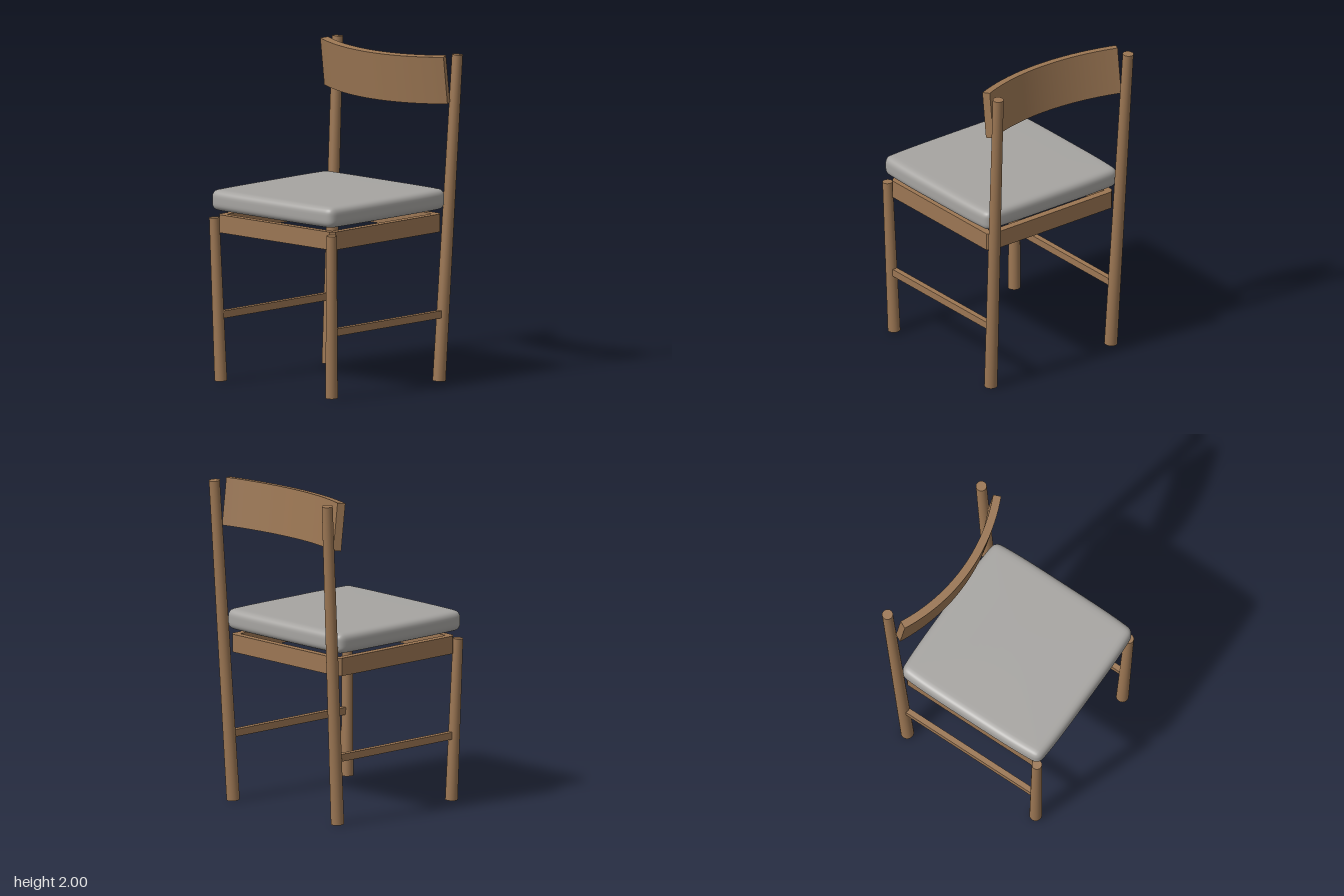
import * as THREE from 'three';
import { mergeVertices, toCreasedNormals } from 'three/addons/utils/BufferGeometryUtils.js';

const wood = new THREE.MeshStandardMaterial({ color: 0x9b7653 });
wood.name = 'wood';
const fabric = new THREE.MeshStandardMaterial({ color: 0xa6a4a1 });
fabric.name = 'grey fabric';

function part(name, geometry, material) {
  const mesh = new THREE.Mesh(geometry, material);
  mesh.name = name;
  return mesh;
}

// Round tapered leg between two points, bottom to top
function leg(name, bottom, top, rBottom, rTop) {
  const a = new THREE.Vector3(...bottom), b = new THREE.Vector3(...top);
  const dir = b.clone().sub(a);
  const mesh = part(name, new THREE.CylinderGeometry(rTop, rBottom, dir.length(), 32), wood);
  mesh.position.copy(a).add(b).multiplyScalar(0.5);
  mesh.quaternion.setFromUnitVectors(new THREE.Vector3(0, 1, 0), dir.normalize());
  return mesh;
}

// Open seat frame with clipped corners
function seatFrame() {
  const w = 0.485, d = 0.4825, c = 0.025, t = 0.045;
  const shape = new THREE.Shape([
    [w, -d + c], [w, d - c], [w - c, d], [-w + c, d],
    [-w, d - c], [-w, -d + c], [-w + c, -d], [w - c, -d],
  ].map(([x, y]) => new THREE.Vector2(x, y)));
  const iw = w - t, id = d - t;
  shape.holes.push(new THREE.Path([
    [-iw, -id], [-iw, id], [iw, id], [iw, -id],
  ].map(([x, y]) => new THREE.Vector2(x, y))));
  const geo = new THREE.ExtrudeGeometry(shape, { depth: 0.11, bevelEnabled: false });
  geo.rotateX(Math.PI / 2);
  const mesh = part('seatFrame', geo, wood);
  mesh.position.set(0, 1.03, 0.0475);
  return mesh;
}

// Soft pad: a rounded box whose sides swell gently in the middle
function cushion() {
  const half = new THREE.Vector3(0.52, 0.066, 0.52), r = 0.045;
  let geo = new THREE.BoxGeometry(2, 2, 2, 32, 16, 32);
  geo.deleteAttribute('uv');
  geo.deleteAttribute('normal');
  geo = mergeVertices(geo);
  const pos = geo.attributes.position;
  const p = new THREE.Vector3(), core = new THREE.Vector3();
  const inner = half.clone().subScalar(r);
  const outer = inner.clone().negate();
  const spread = (u) => Math.sign(u) * (1 - Math.pow(1 - Math.abs(u), 2)); // denser near edges
  for (let i = 0; i < pos.count; i++) {
    p.fromBufferAttribute(pos, i);
    p.set(spread(p.x), spread(p.y), spread(p.z)).multiply(half);
    core.copy(p).clamp(outer, inner);
    p.sub(core).setLength(r).add(core);
    const u = (p.x / half.x) ** 2, v = (p.z / half.z) ** 2;
    p.x *= 1 - 0.025 * v * v;
    p.z *= 1 - 0.025 * u * u;
    p.y *= 1 - 0.05 * Math.max(u, v);
    pos.setXYZ(i, p.x, p.y, p.z);
  }
  geo.computeVertexNormals();
  const mesh = part('seatCushion', geo, fabric);
  mesh.position.set(0, 1.121, 0.06);
  return mesh;
}

// Curved backrest: a ring segment with radial ends, tipped forward
function backrest() {
  const R = 1.21, thickness = 0.05, a = Math.asin(0.515 / R);
  const shape = new THREE.Shape();
  shape.absarc(0, -R, R, Math.PI / 2 - a, Math.PI / 2 + a, false);
  shape.absarc(0, -R, R - thickness, Math.PI / 2 + a, Math.PI / 2 - a, true);
  shape.closePath();
  const geo = new THREE.ExtrudeGeometry(shape, { depth: 0.293, bevelEnabled: false, curveSegments: 32 });
  geo.rotateX(Math.PI / 2);
  const mesh = part('backrest', toCreasedNormals(geo, 0.5), wood);
  mesh.position.set(0, 1.98, -0.295);
  mesh.rotation.x = 0.12;
  return mesh;
}

export function createModel() {
  const chair = new THREE.Group();
  chair.name = 'chair';
  chair.add(seatFrame(), cushion(), backrest());

  // Legs and side stretchers, mirrored
  for (const [side, s] of [['left', 1], ['right', -1]]) {
    chair.add(leg(side + 'FrontLeg', [s * 0.463, 0.012, 0.515], [s * 0.491, 1.012, 0.543], 0.038, 0.031));
    chair.add(leg(side + 'BackLeg', [s * 0.463, 0.004, -0.426], [s * 0.501, 1.994, -0.546], 0.04, 0.033));
    const stretcher = part(side + 'Stretcher', new THREE.BoxGeometry(0.035, 0.045, 0.95), wood);
    stretcher.position.set(s * 0.473, 0.414, 0.04);
    chair.add(stretcher);
  }
  return chair;
}
